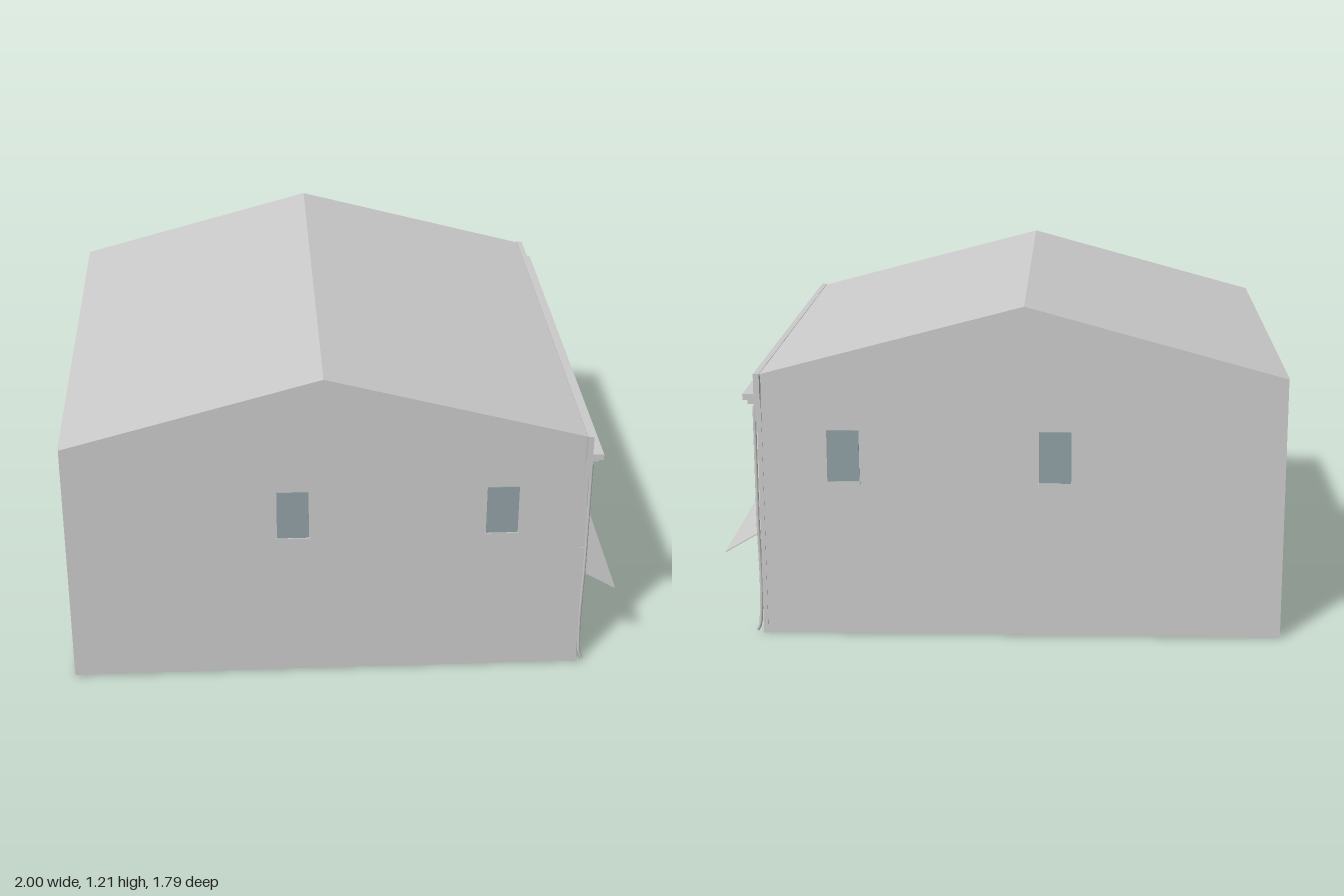
import * as THREE from 'three';

const wallGrey = new THREE.MeshStandardMaterial({ color: 0xcccccc, side: THREE.DoubleSide });
wallGrey.name = 'wall grey';
const glassBlue = new THREE.MeshStandardMaterial({ color: 0x92a2a6, side: THREE.DoubleSide });
glassBlue.name = 'window glass';

const W = 0.87;      // half width of the walls
const FACE = 0.855;  // plane of the shop facade
const WIN_Z = [0.695, 0.35, 0, -0.345, -0.69];
const WIN_Y0 = 0.57, WIN_Y1 = 0.775, WIN_HALF = 0.058;

export function createModel() {
  const model = new THREE.Group();
  model.name = 'shopBuilding';

  function group(name) {
    const g = new THREE.Group();
    g.name = name;
    model.add(g);
    return g;
  }
  function add(parent, name, geometry, material = wallGrey) {
    const m = new THREE.Mesh(geometry, material);
    m.name = name;
    parent.add(m);
    return m;
  }
  // box from its limits on each axis
  function box(parent, name, x0, x1, y0, y1, z0, z1, material) {
    const g = new THREE.BoxGeometry(x1 - x0, y1 - y0, Math.abs(z1 - z0));
    g.translate((x0 + x1) / 2, (y0 + y1) / 2, (z0 + z1) / 2);
    return add(parent, name, g, material);
  }
  // upright panel between two plan points
  function panel(parent, name, a, b, y0, y1, material) {
    const dx = b[0] - a[0], dz = b[1] - a[1];
    const g = new THREE.PlaneGeometry(Math.hypot(dx, dz), y1 - y0);
    g.rotateY(-Math.atan2(dz, dx));
    g.translate((a[0] + b[0]) / 2, (y0 + y1) / 2, (a[1] + b[1]) / 2);
    return add(parent, name, g, material);
  }

  // Outer walls, open underneath at the rear
  const walls = group('walls');
  panel(walls, 'frontWall', [-1, W], [FACE, W], 0.005, 0.96);
  panel(walls, 'backWall', [FACE, -W], [-1, -W], 0.005, 0.96);
  panel(walls, 'leftRearWall', [-1, -W], [-1, W], 0.005, 0.96);
  box(walls, 'shopFloor', 0.08, FACE, 0.003, 0.01, -W, W);

  // Gabled roof prism
  const gable = new THREE.Shape([[-1, 0.96], [0.86, 0.96], [-0.08, 1.21]].map(p => new THREE.Vector2(...p)));
  const roof = new THREE.ExtrudeGeometry(gable, { depth: 1.78, bevelEnabled: false });
  roof.translate(0, 0, -0.89);
  add(model, 'roof', roof);

  // Plain windows on both gable walls
  const sideWindows = group('sideWindows');
  for (const s of [1, -1]) {
    for (const x of [-0.19, 0.56]) {
      box(sideWindows, 'sidePane', x - 0.057, x + 0.057, 0.572, 0.76, s * W, s * (W + 0.004), glassBlue);
      box(sideWindows, 'sideSill', x - 0.06, x + 0.06, 0.565, 0.573, s * W, s * (W + 0.008));
    }
  }

  // Facade wall with openings; shape x runs along -z
  const rect = (Type, z0, z1, y0, y1) => new Type([[-z0, y0], [-z1, y0], [-z1, y1], [-z0, y1]].map(p => new THREE.Vector2(...p)));
  const facade = rect(THREE.Shape, W, -W, 0, 0.96);
  WIN_Z.forEach(z => facade.holes.push(rect(THREE.Path, z + WIN_HALF, z - WIN_HALF, WIN_Y0, WIN_Y1)));
  facade.holes.push(rect(THREE.Path, 0.8, 0.6, 0.06, 0.265));
  facade.holes.push(rect(THREE.Path, 0.595, -0.82, 0.07, 0.265));
  const facadeGeo = new THREE.ExtrudeGeometry(facade, { depth: 0.03, bevelEnabled: false });
  facadeGeo.rotateY(Math.PI / 2);
  facadeGeo.translate(FACE - 0.03, 0, 0);
  add(model, 'facadeWall', facadeGeo);

  // Upper sash windows
  WIN_Z.forEach((z, i) => {
    const g = group('sashWindow');
    const x = FACE - 0.025, h = WIN_HALF, mid = (WIN_Y0 + WIN_Y1) / 2;
    box(g, 'sashGlass', x - 0.004, x, WIN_Y0, WIN_Y1, z - h, z + h, glassBlue);
    for (const s of [1, -1]) box(g, 'jamb', x, FACE + 0.003, WIN_Y0, WIN_Y1, z + s * h, z + s * (h - 0.008));
    box(g, 'topRail', x, FACE + 0.003, WIN_Y1 - 0.008, WIN_Y1, z - h, z + h);
    box(g, 'meetingRail', x, x + 0.012, mid - 0.004, mid + 0.004, z - h, z + h);
    for (const s of [1, -1]) box(g, 'uprightBar', x, x + 0.005, WIN_Y0, WIN_Y1, z + s * 0.018 - 0.002, z + s * 0.018 + 0.002);
    for (const k of [0.25, 0.75]) {
      const y = WIN_Y0 + k * (WIN_Y1 - WIN_Y0);
      box(g, 'crossBar', x, x + 0.005, y - 0.002, y + 0.002, z - h, z + h);
    }
    box(g, 'sill', x, FACE + 0.012, WIN_Y0 - 0.008, WIN_Y0 + 0.005, z - 0.066, z + 0.066);
    const cap = i > 0 && i < 4 ? 0.075 : 0.066;
    box(g, 'lintel', x, FACE + 0.01, WIN_Y1, WIN_Y1 + 0.013, z - cap, z + cap);
  });
  box(model, 'airConditioner', 0.83, 0.905, 0.577, 0.632, -0.032, 0.034);

  // Parapet, cornice and dentils
  const cornice = group('cornice');
  box(cornice, 'parapet', 0.845, 0.866, 0.875, 0.966, -0.897, 0.897);
  box(cornice, 'corniceTop', 0.845, 0.905, 0.873, 0.895, -0.897, 0.897);
  box(cornice, 'corniceBed', 0.845, 0.87, 0.84, 0.873, -0.88, 0.88);
  for (let i = 0; i < 26; i++) {
    const z = -0.85 + i * 0.068;
    box(cornice, 'dentil', 0.865, 0.893, 0.852, 0.874, z - 0.02, z + 0.02);
  }

  // Sign band and string course
  const band = group('signBand');
  box(band, 'stringCourse', FACE, FACE + 0.006, 0.49, 0.5, -0.868, 0.868);
  box(band, 'centreSign', FACE, FACE + 0.007, 0.38, 0.495, -0.44, 0.44);
  for (const s of [1, -1]) box(band, 'sideSign', FACE, FACE + 0.004, 0.38, 0.488, s * 0.44, s * 0.855);

  // Corner pilasters and drainpipes with kicked-out feet
  for (const s of [1, -1]) {
    const g = group('corner');
    box(g, 'pilaster', FACE - 0.01, FACE + 0.006, 0, 0.84, s * 0.85, s * 0.873);
    box(g, 'pilasterCap', FACE - 0.01, FACE + 0.012, 0.79, 0.84, s * 0.845, s * 0.877);
    box(g, 'pilasterCollar', FACE - 0.01, FACE + 0.009, 0.485, 0.5, s * 0.845, s * 0.876);
    const path = new THREE.CatmullRomCurve3([[0.871, 0.84], [0.871, 0.45], [0.871, 0.06], [0.873, 0.035], [0.885, 0.007]]
      .map(([x, y]) => new THREE.Vector3(x, y, s * 0.862)), false, 'chordal');
    add(g, 'drainpipe', new THREE.TubeGeometry(path, 40, 0.006, 8));
  }

  // Shop windows, mullions and plinth
  const shop = group('shopFront');
  box(shop, 'displayPanel', FACE - 0.028, FACE - 0.02, 0.07, 0.265, -0.82, 0.595);
  for (let i = 0; i < 9; i++) {
    const z = 0.596 - i * 0.177;
    box(shop, 'mullion', FACE - 0.025, FACE + 0.004, 0.065, 0.27, z - 0.005, z + 0.005);
  }
  box(shop, 'windowSill', FACE - 0.02, FACE + 0.01, 0.061, 0.072, -0.828, 0.6);
  box(shop, 'windowHead', FACE, FACE + 0.008, 0.265, 0.295, -0.82, 0.82);
  box(shop, 'plinth', FACE, FACE + 0.005, 0, 0.058, -0.85, 0.85);
  box(shop, 'doorStep', FACE, 0.885, 0, 0.012, 0.61, 0.735);

  // Splayed entrance with glass door and side shelves
  const entry = group('entrance');
  const back = 0.76;
  box(entry, 'entryFloor', back, FACE, 0.052, 0.06, 0.6, 0.8);
  box(entry, 'entryCeiling', back, FACE, 0.265, 0.272, 0.6, 0.8);
  panel(entry, 'entrySide', [FACE, 0.8], [back, 0.725], 0.06, 0.265);
  panel(entry, 'entrySide', [FACE, 0.6], [back, 0.62], 0.06, 0.265);
  box(entry, 'doorFrame', back - 0.01, back, 0.06, 0.265, 0.615, 0.73);
  box(entry, 'doorGlass', back, back + 0.004, 0.065, 0.253, 0.626, 0.72, glassBlue);
  box(entry, 'doorHandle', back + 0.004, back + 0.012, 0.115, 0.128, 0.669, 0.674);
  for (let r = 0; r < 5; r++) {
    const y = 0.066 + r * 0.04;
    for (let k = 0; k < 3; k++) {
      const t = 0.2 + k * 0.28;
      const x = back + t * (FACE - back), z = 0.725 + t * 0.075;
      box(entry, 'shelf', x - 0.013, x + 0.013, y, y + 0.004, z - 0.014, z + 0.01);
      box(entry, 'shelfGoods', x - 0.008, x + 0.008, y + 0.004, y + 0.022 + 0.006 * ((r + k) % 2), z - 0.009, z + 0.01);
    }
  }

  // Sloping awning over the shop front
  const awning = new THREE.BoxGeometry(0.158, 0.004, 1.64);
  awning.rotateZ(-Math.atan2(0.08, 0.135));
  awning.translate(0.931, 0.329, 0);
  add(model, 'awning', awning);
  box(model, 'awningRail', FACE, 0.866, 0.366, 0.376, -0.82, 0.82);

  return model;
}
